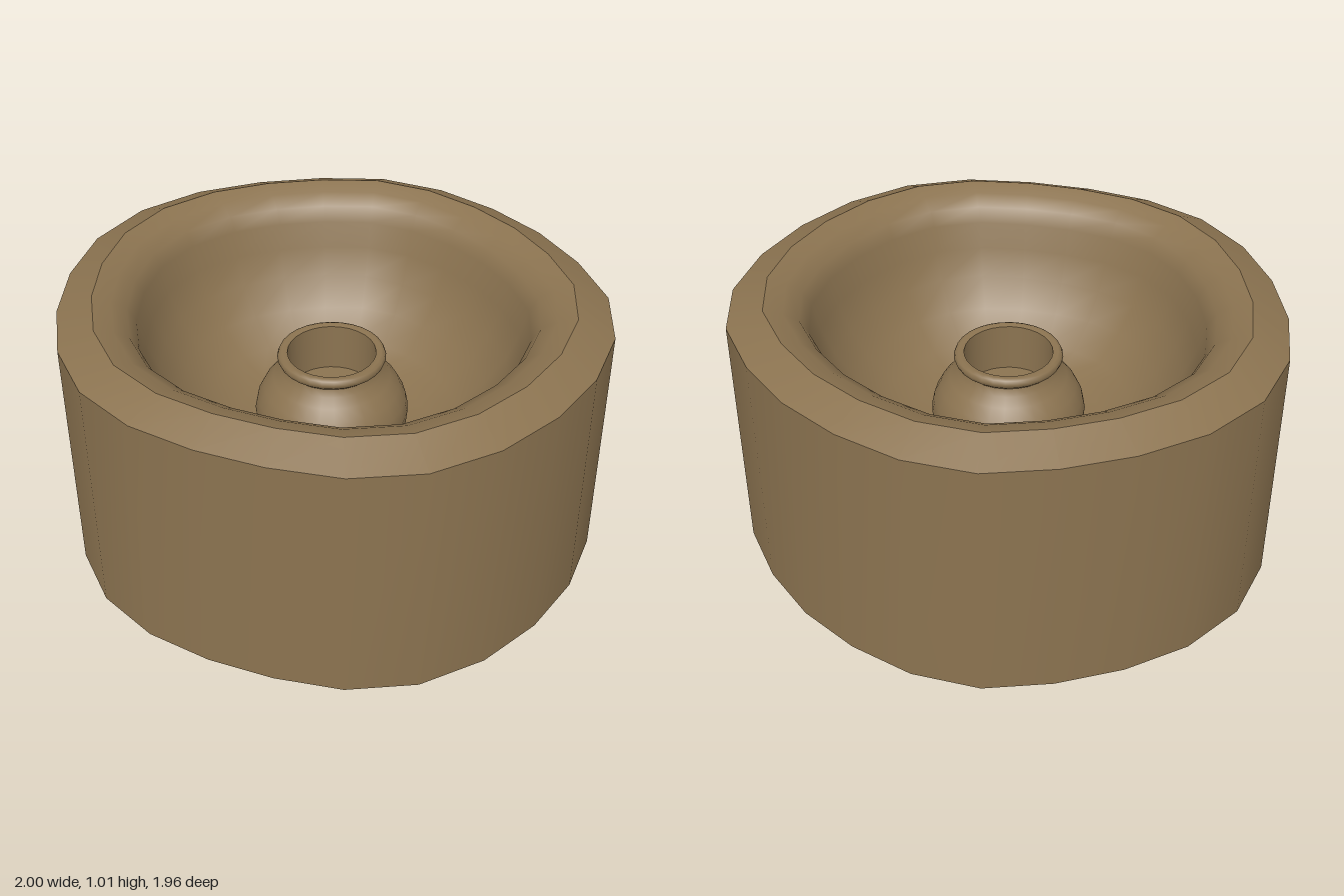
import * as THREE from 'three';

// Slightly irregular outline: radius every 15 degrees, from +x towards +z
const OUTLINE = [
  1.01, 1.017, 1.006, 1.0, 1.005, 1.008, 0.986, 0.953, 0.95, 0.973, 0.994, 0.993,
  0.99, 1.002, 1.026, 1.031, 1.008, 0.979, 0.97, 0.984, 0.973, 0.958, 0.961, 0.977,
];
const CENTRE = -0.01;

// Skin a list of [scale, y] rings that all follow the outline
function loft(name, rings, material) {
  const n = OUTLINE.length;
  const positions = [];
  const indices = [];
  for (const [scale, y] of rings) {
    OUTLINE.forEach((r, i) => {
      const a = (i / n) * Math.PI * 2;
      positions.push(CENTRE + Math.cos(a) * r * scale, y, CENTRE + Math.sin(a) * r * scale);
    });
  }
  for (let j = 0; j < rings.length - 1; j++) {
    for (let i = 0; i < n; i++) {
      const k = (i + 1) % n;
      const a = j * n + i, b = j * n + k, c = a + n, d = b + n;
      indices.push(a, c, b, b, c, d);
    }
  }
  const geometry = new THREE.BufferGeometry();
  geometry.setAttribute('position', new THREE.Float32BufferAttribute(positions, 3));
  geometry.setIndex(indices);
  geometry.computeVertexNormals();
  const mesh = new THREE.Mesh(geometry, material);
  mesh.name = name;
  return mesh;
}

// Round part turned about the centre
function turned(name, points, material) {
  const geometry = new THREE.LatheGeometry(points.map(([r, y]) => new THREE.Vector2(r, y)), 28);
  const mesh = new THREE.Mesh(geometry, material);
  mesh.name = name;
  mesh.position.set(CENTRE, 0, CENTRE);
  return mesh;
}

export function createModel() {
  const group = new THREE.Group();
  group.name = 'basin';
  const clay = new THREE.MeshStandardMaterial({ color: 0x8b7350 });
  clay.name = 'brown clay';

  // Outer body: base, wall and sloping rim, with sharp edges between them
  group.add(loft('base', [[0, 0], [1, 0]], clay));
  group.add(loft('wall', [[1, 0], [1, 0.95]], clay));
  group.add(loft('rim', [[1, 0.95], [0.868, 1.01]], clay));

  // Hollow: gently dipping lip, steep side, rounded floor
  group.add(loft('bowl', [
    [0.868, 1.01], [0.8, 0.99], [0.745, 0.955], [0.715, 0.9], [0.69, 0.8], [0.645, 0.69],
    [0.57, 0.58], [0.47, 0.49], [0.36, 0.44], [0.2, 0.41], [0, 0.41],
  ], clay));

  // Central spout: rounded shoulder, neck, collar and hollow cup
  group.add(turned('spoutBody', [
    [0.26, 0.4], [0.285, 0.45], [0.29, 0.5], [0.28, 0.55], [0.255, 0.6], [0.22, 0.64],
    [0.19, 0.67], [0.18, 0.7],
  ], clay));
  group.add(turned('spoutCollar', [
    [0.18, 0.7], [0.197, 0.715], [0.203, 0.73], [0.197, 0.745], [0.185, 0.75], [0.165, 0.745],
  ], clay));
  group.add(turned('spoutCup', [[0.165, 0.745], [0.163, 0.56]], clay));
  group.add(turned('spoutCupFloor', [[0.163, 0.56], [0, 0.56]], clay));
  return group;
}
